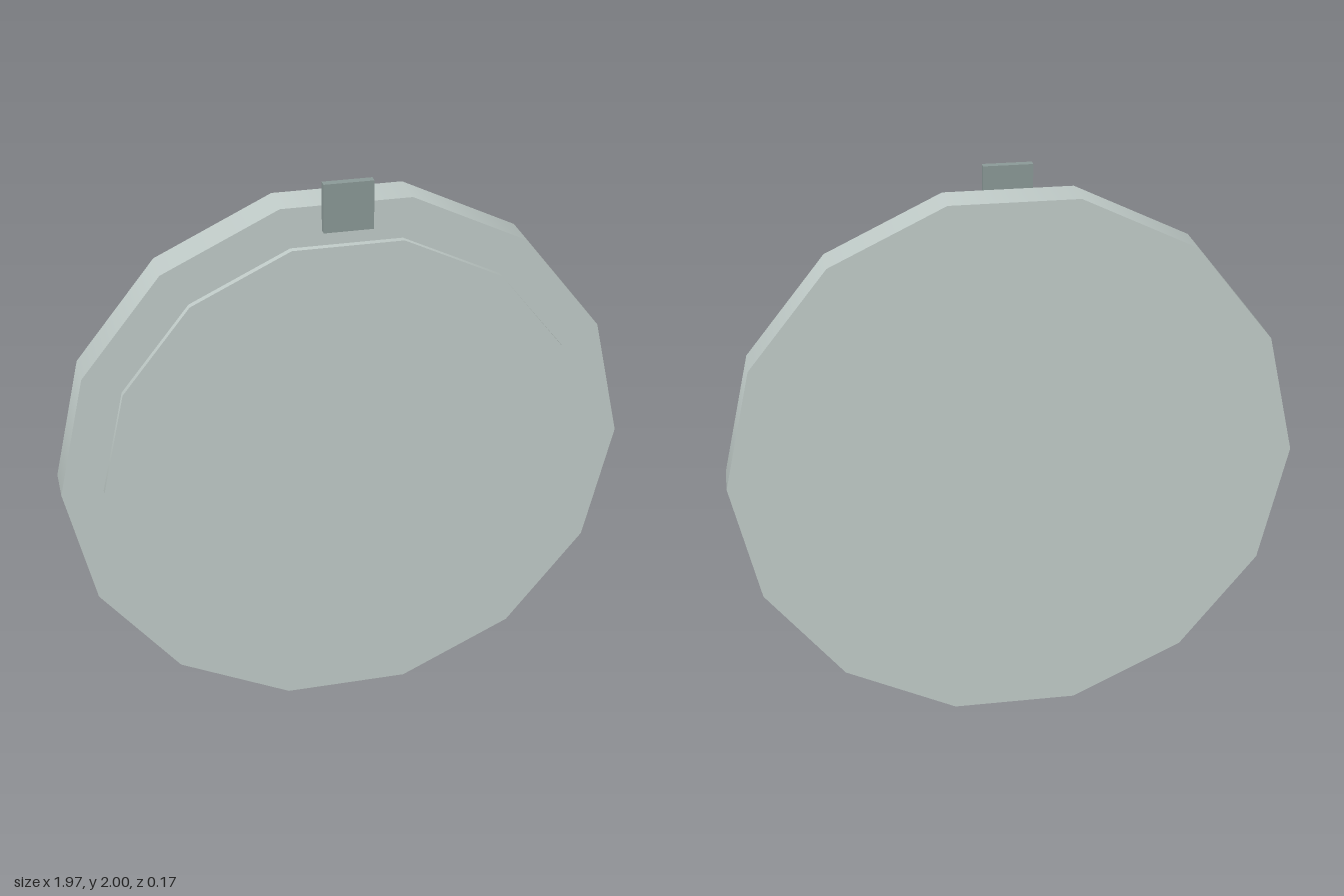
import * as THREE from 'three';

const CENTRE_Y = 0.96;

export function createModel() {
  const group = new THREE.Group();
  const paleGrey = new THREE.MeshStandardMaterial({ name: 'pale grey green', color: 0xc0cbc8 });
  const midGrey = new THREE.MeshStandardMaterial({ name: 'mid grey green', color: 0x8a9896 });

  // Fourteen-sided disc facing +z, smooth around the rim, corners on the x axis
  function addDisc(name, radius, back, front) {
    const geometry = new THREE.CylinderGeometry(radius, radius, front - back, 14, 1, false, Math.PI / 2);
    geometry.rotateX(Math.PI / 2);
    const mesh = new THREE.Mesh(geometry, paleGrey);
    mesh.name = name;
    mesh.position.set(0, CENTRE_Y, (back + front) / 2);
    group.add(mesh);
  }

  addDisc('body', 0.984, -0.083, 0.056);
  addDisc('frontPanel', 0.842, 0.05, 0.079);

  // Small square tab standing above the rim
  const tab = new THREE.Mesh(new THREE.BoxGeometry(0.166, 0.166, 0.028), midGrey);
  tab.name = 'topTab';
  tab.position.set(0, 1.917, 0.07);
  group.add(tab);

  return group;
}
